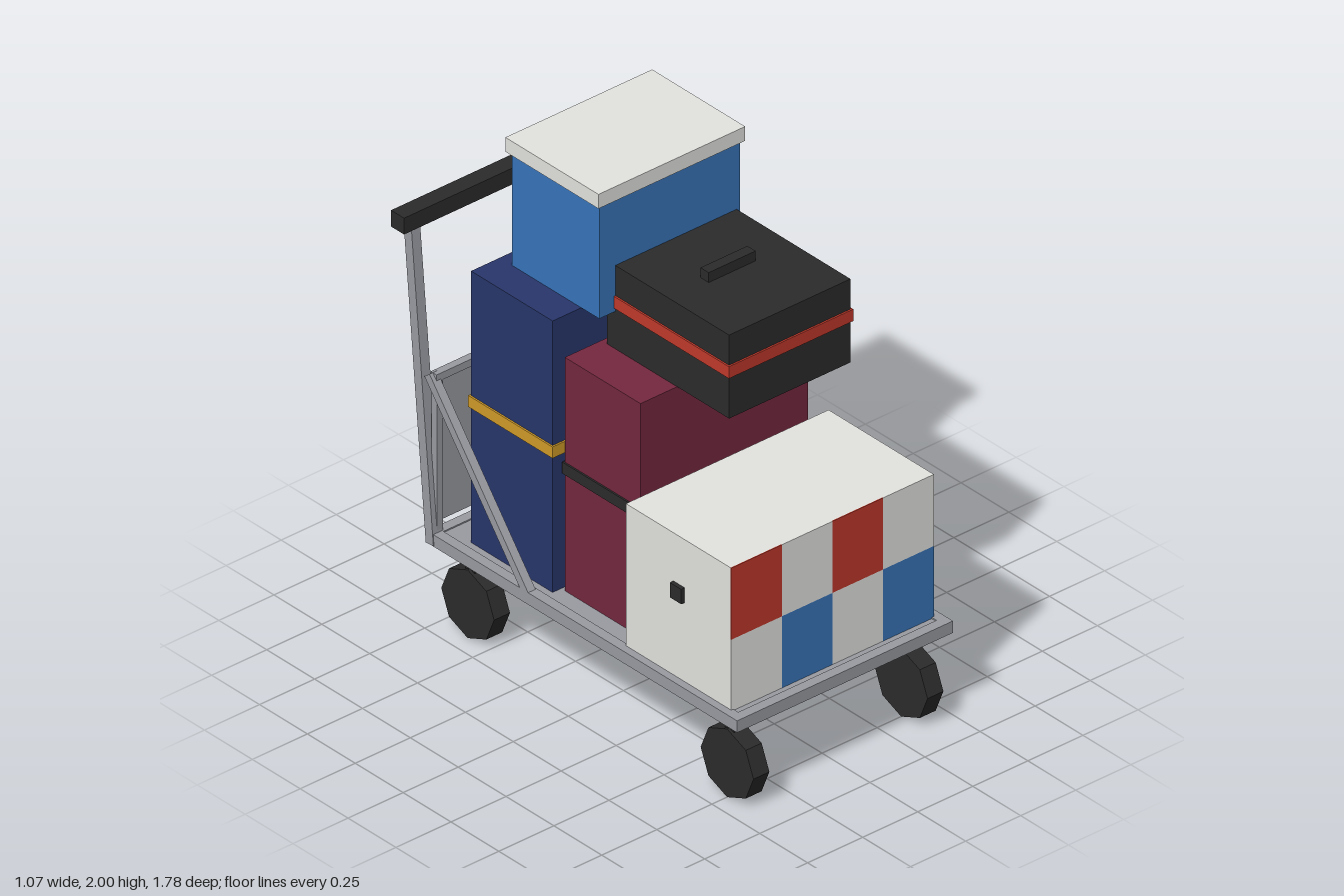
import * as THREE from 'three';

const mat = (name, color) => {
  const m = new THREE.MeshStandardMaterial({ color });
  m.name = name;
  return m;
};

export function createModel() {
  const grey = mat('metal grey', 0x999ba1);
  const black = mat('charcoal', 0x2b2b2b);
  const white = mat('off white', 0xe3e3e0);
  const red = mat('red', 0xc0392b);
  const blue = mat('blue', 0x3875ba);
  const navy = mat('navy', 0x28366b);
  const maroon = mat('maroon', 0x752840);
  const gold = mat('gold', 0xd09b28);

  const model = new THREE.Group();
  model.name = 'luggageTrolley';

  // Box given by its limits on each axis
  const box = (name, m, [x0, x1], [y0, y1], [z0, z1]) => {
    const mesh = new THREE.Mesh(new THREE.BoxGeometry(x1 - x0, y1 - y0, z1 - z0), m);
    mesh.position.set((x0 + x1) / 2, (y0 + y1) / 2, (z0 + z1) / 2);
    mesh.name = name;
    model.add(mesh);
    return mesh;
  };

  // Square bar leaning in the yz plane, from (y0, z0) to (y1, z1)
  const bar = (name, x, width, [y0, z0], [y1, z1]) => {
    const length = Math.hypot(y1 - y0, z1 - z0);
    const mesh = new THREE.Mesh(new THREE.BoxGeometry(width, length, width), grey);
    mesh.position.set(x, (y0 + y1) / 2, (z0 + z1) / 2);
    mesh.rotation.x = Math.atan2(z1 - z0, y1 - y0);
    mesh.name = name;
    model.add(mesh);
  };

  // Deck with a slightly raised rim
  box('deck', grey, [-0.46, 0.46], [0.35, 0.385], [-0.72, 0.84]);
  box('frontRail', grey, [-0.49, 0.49], [0.342, 0.39], [0.83, 0.87]);
  box('backRail', grey, [-0.49, 0.49], [0.342, 0.39], [-0.75, -0.71]);

  // Back panel, with a gap above the deck
  box('backPanel', grey, [-0.455, 0.455], [0.43, 1.005], [-0.74, -0.725]);
  box('panelTopRail', grey, [-0.475, 0.475], [1.0, 1.03], [-0.748, -0.717]);

  for (const s of [-1, 1]) {
    box('sideRail', grey, [s * 0.47 - 0.02, s * 0.47 + 0.02], [0.342, 0.39], [-0.71, 0.83]);
    box('panelPost', grey, [s * 0.458 - 0.014, s * 0.458 + 0.014], [0.385, 1.0], [-0.746, -0.718]);
    bar('upright', s * 0.473, 0.04, [0.345, -0.733], [1.6, -0.85]);
    bar('brace', s * 0.473, 0.034, [0.352, -0.213], [1.02, -0.75]);

    // Eight-sided castors
    for (const z of [0.75, -0.605]) {
      const wheel = new THREE.Mesh(
        new THREE.CylinderGeometry(0.138, 0.138, 0.072, 8).toNonIndexed(), black);
      wheel.geometry.computeVertexNormals();
      wheel.rotation.z = Math.PI / 2;
      wheel.position.set(s * 0.395, 0.138, z);
      wheel.name = 'wheel';
      model.add(wheel);
      box('castorStem', black, [s * 0.397 - 0.023, s * 0.397 + 0.023], [0.2, 0.35], [z - 0.023, z + 0.023]);
    }

    // Side grips of the front box
    box('boxGrip', black, [s * 0.465 - 0.011, s * 0.465 + 0.011], [0.71, 0.77], [0.503, 0.562]);
  }

  // Push handle
  box('pushHandle', black, [-0.533, 0.533], [1.574, 1.64], [-0.888, -0.82]);

  // Front box with painted checks
  box('frontBox', white, [-0.46, 0.46], [0.385, 0.965], [0.255, 0.801]);
  for (let col = 0; col < 4; col++) {
    for (let row = 0; row < 2; row++) {
      if ((col + row) % 2) box('whiteCheck', white, [-0.46 + col * 0.23, -0.23 + col * 0.23],
        [0.675 - row * 0.29, 0.965 - row * 0.29], [0.801, 0.805]);
      else box('colourCheck', row ? blue : red, [-0.46 + col * 0.23, -0.23 + col * 0.23],
        [0.675 - row * 0.29, 0.965 - row * 0.29], [0.801, 0.805]);
    }
  }

  // Case wrapped by a strap standing slightly proud
  const strapped = (name, m, strapMat, [x0, x1], y, [z0, z1], strapY) => {
    const o = 0.007;
    box(name, m, [x0, x1], y, [z0, z1]);
    box(name + 'Strap', strapMat, [x0 - o, x1 + o], strapY, [z0 - o, z1 + o]);
  };
  strapped('maroonSuitcase', maroon, black, [-0.381, 0.379], [0.385, 1.33], [-0.155, 0.24], [0.86, 0.906]);
  strapped('navySuitcase', navy, gold, [-0.42, 0.419], [0.385, 1.484], [-0.6, -0.174], [0.934, 0.98]);
  strapped('blackCase', black, red, [-0.217, 0.334], [1.332, 1.67], [-0.123, 0.514], [1.5, 1.548]);
  box('caseHandle', black, [-0.048, 0.165], [1.67, 1.71], [0.17, 0.213]);

  // Lidded box on top
  box('blueBox', blue, [-0.29, 0.35], [1.484, 1.945], [-0.537, -0.08]);
  box('boxLid', white, [-0.305, 0.361], [1.942, 2.0], [-0.553, -0.067]);

  return model;
}
